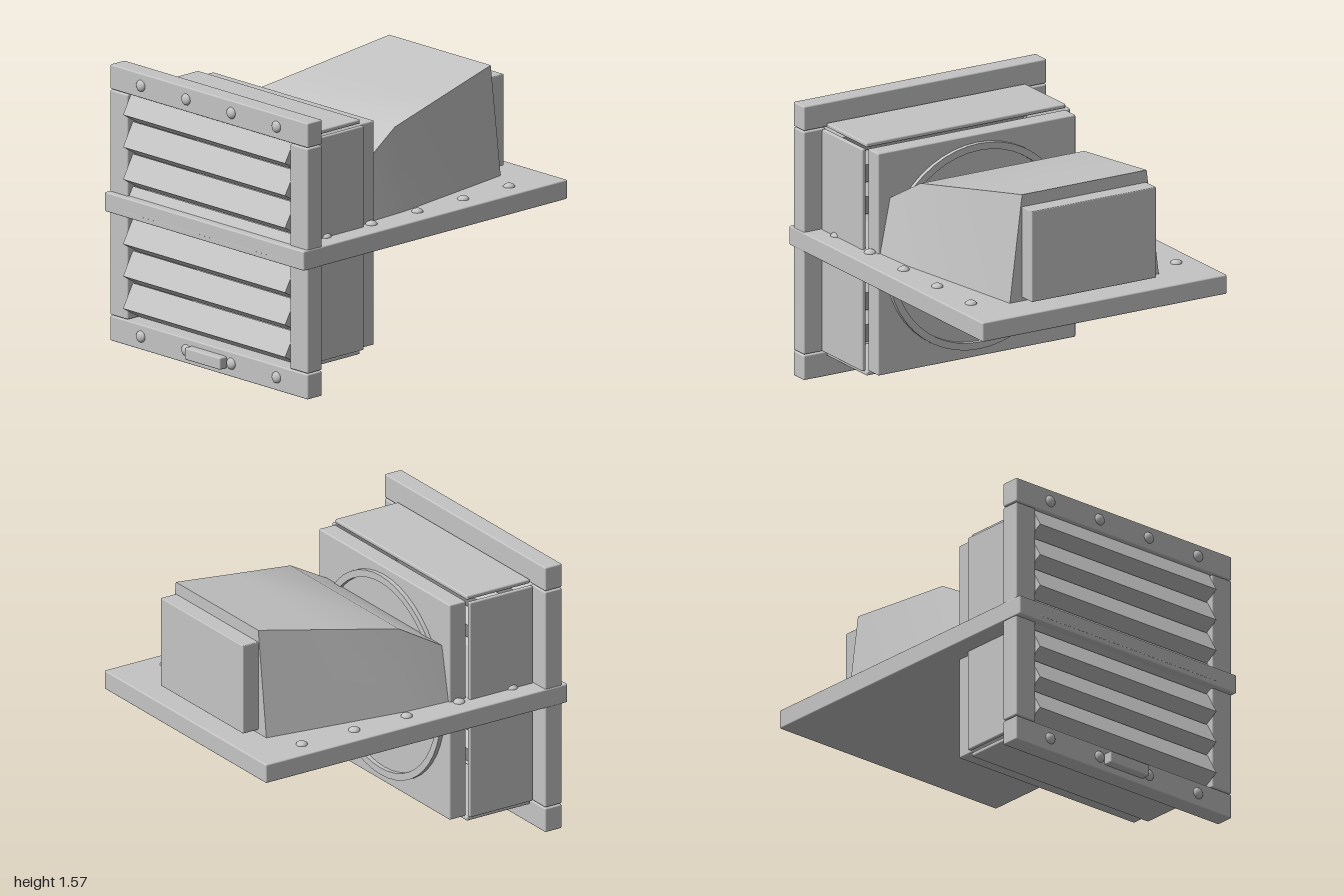
import * as THREE from 'three';
import { toCreasedNormals } from 'three/addons/utils/BufferGeometryUtils.js';
import { RoundedBoxGeometry } from 'three/addons/geometries/RoundedBoxGeometry.js';

export function createModel() {
  const model = new THREE.Group();
  const metal = new THREE.MeshStandardMaterial({ color: 0xc4c4c4 });
  metal.name = 'painted metal';

  function add(name, geometry, x = 0, y = 0, z = 0) {
    const mesh = new THREE.Mesh(geometry, metal);
    mesh.name = name;
    mesh.position.set(x, y, z);
    model.add(mesh);
    return mesh;
  }
  // Softly bevelled box given by its limits
  function block(name, x0, x1, y0, y1, z0, z1, r = 0.008) {
    return add(name, new RoundedBoxGeometry(x1 - x0, y1 - y0, z1 - z0, 2, r),
      (x0 + x1) / 2, (y0 + y1) / 2, (z0 + z1) / 2);
  }

  // Mounting plate running through the whole unit
  block('mountingPlate', -0.785, 0.785, 0.74, 0.85, -1, 0.985);

  // Front frame
  block('frameTop', -0.78, 0.78, 1.43, 1.57, 0.84, 0.95);
  block('frameBottom', -0.78, 0.78, 0, 0.142, 0.84, 0.95);
  for (const s of [-1, 1]) {
    block('frameSide', s * 0.71 - 0.07, s * 0.71 + 0.07, 0.147, 1.425, 0.84, 0.95);
  }
  block('handle', -0.14, 0.14, 0.04, 0.108, 0.94, 1);

  // Tilted louvre slats, placed by their front edge
  for (let i = 0; i < 7; i++) {
    const edge = 1.32 - i * 0.1835;
    const slat = add('louvreSlat', new THREE.BoxGeometry(1.278, 0.15, 0.15), 0, edge + 0.0275, 0.883);
    slat.rotation.x = -Math.PI / 6;
  }

  // Casing: four panels with narrow gaps at the corners, then the rear panel
  block('casingTop', -0.64, 0.64, 1.43, 1.455, 0.42, 0.835);
  block('casingBottom', -0.64, 0.64, 0.12, 0.145, 0.42, 0.835);
  for (const s of [-1, 1]) {
    block('casingSide', s * 0.657 - 0.0125, s * 0.657 + 0.0125, 0.15, 1.425, 0.42, 0.835);
  }
  block('rearPanel', -0.635, 0.635, 0.15, 1.425, 0.31, 0.417);

  // Fan ring, hub and three oblique blades on the rear panel
  const ringProfile = [[0.55, -0.015], [0.59, -0.015], [0.59, 0.015], [0.55, 0.015], [0.55, -0.015]];
  const ringGeometry = toCreasedNormals(
    new THREE.LatheGeometry(ringProfile.map(p => new THREE.Vector2(...p)), 48), 0.6);
  ringGeometry.rotateX(Math.PI / 2);
  add('fanRing', ringGeometry, 0, 0.79, 0.3);
  const hubGeometry = new THREE.CylinderGeometry(0.17, 0.17, 0.06, 32);
  hubGeometry.rotateX(Math.PI / 2);
  add('fanHub', hubGeometry, 0, 0.79, 0.29);
  for (let i = 0; i < 3; i++) {
    const a = THREE.MathUtils.degToRad(-64 + i * 120);
    const blade = add('fanBlade', new THREE.BoxGeometry(0.42, 0.09, 0.03),
      0.32 * Math.cos(a), 0.79 + 0.32 * Math.sin(a), 0.3);
    blade.rotation.z = a + THREE.MathUtils.degToRad(117);
  }

  // Tapering hood from trapezoid sections: z, height, half width below and above
  const sections = [
    [0.32, 1.155, 0.625, 0.56], [0.05, 1.31, 0.61, 0.525],
    [-0.37, 1.385, 0.545, 0.462], [-0.79, 1.46, 0.48, 0.40],
  ];
  const points = [], faces = [];
  sections.forEach(([z, top, low, high]) => {
    points.push(-low, 0.84, z, -high, top, z, high, top, z, low, 0.84, z);
  });
  for (let i = 0; i < sections.length - 1; i++) {
    for (let j = 0; j < 4; j++) {
      const a = i * 4 + j, b = i * 4 + (j + 1) % 4;
      faces.push(a, b, b + 4, a, b + 4, a + 4);
    }
  }
  const n = (sections.length - 1) * 4;
  faces.push(0, 3, 2, 0, 2, 1, n, n + 1, n + 2, n, n + 2, n + 3);
  const hood = new THREE.BufferGeometry();
  hood.setAttribute('position', new THREE.Float32BufferAttribute(points, 3));
  hood.setIndex(faces);
  add('hood', toCreasedNormals(hood, 0.6));
  block('hoodOutlet', -0.4, 0.4, 0.87, 1.39, -0.89, -0.77, 0.005);

  // Domed rivets on the plate and the frame
  const dome = new THREE.SphereGeometry(0.033, 16, 6, 0, Math.PI * 2, 0, Math.PI / 2);
  dome.scale(1, 0.65, 1);
  for (const x of [-0.66, 0.66]) {
    for (let i = 0; i < 5; i++) add('plateRivet', dome, x, 0.849, -0.68 + i * 0.345);
  }
  for (const y of [0.075, 1.5]) {
    for (const x of [-0.535, -0.178, 0.178, 0.535]) {
      add('frameRivet', dome, x, y, 0.949).rotation.x = Math.PI / 2;
    }
  }
  return model;
}
